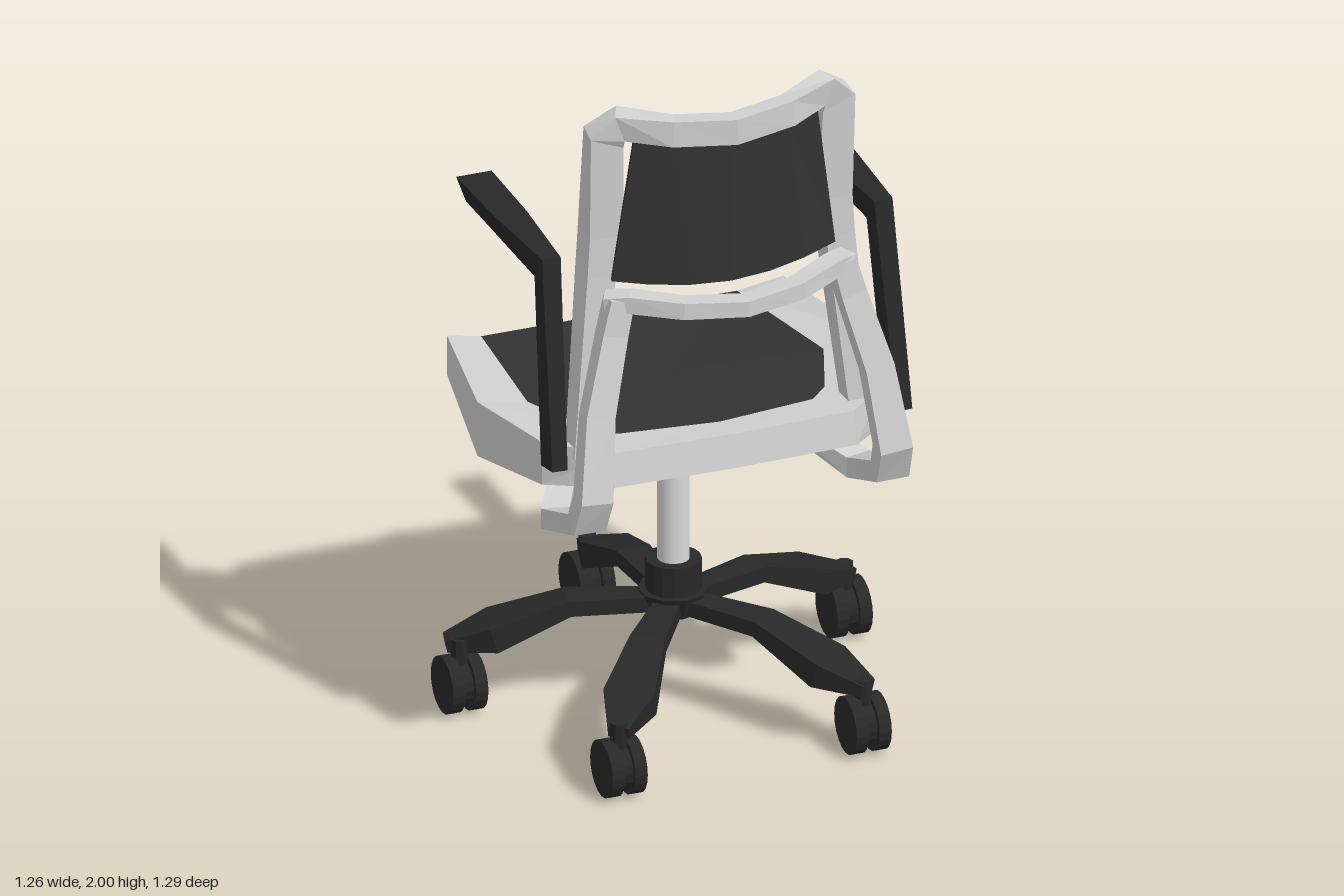
import * as THREE from 'three';

const mat = (name, color) => {
  const m = new THREE.MeshStandardMaterial({ color, flatShading: true });
  m.name = name;
  return m;
};

// Flat-shaded geometry from a list of triangles (Vector3 triples)
function fromTris(tris) {
  const g = new THREE.BufferGeometry().setFromPoints(tris.flat());
  g.computeVertexNormals();
  return g;
}

const addTri = (tris, a, b, c) => {
  if (a.distanceTo(b) > 1e-4 && b.distanceTo(c) > 1e-4 && c.distanceTo(a) > 1e-4) tris.push([a, b, c]);
};

// Joins rings of points with quads
function loft(tris, rings) {
  for (let r = 0; r < rings.length - 1; r++) {
    const a = rings[r], b = rings[r + 1], n = a.length;
    for (let i = 0; i < n; i++) {
      const j = (i + 1) % n;
      addTri(tris, a[i], a[j], b[j]);
      addTri(tris, a[i], b[j], b[i]);
    }
  }
}

// Mitred bar: points are [x, y, z, width along hint, height, taper of the +v side]
function bar(points, hint) {
  const P = points.map((p) => new THREE.Vector3(p[0], p[1], p[2]));
  const rings = P.map((p, i) => {
    const t1 = P[Math.max(i, 1)].clone().sub(P[Math.max(i, 1) - 1]).normalize();
    const k = Math.min(i, P.length - 2);
    const t2 = P[k + 1].clone().sub(P[k]).normalize();
    const t = t1.clone().add(t2).normalize();
    const miter = Math.min(1.5, 1 / Math.max(0.1, t.dot(t2)));
    const u = hint.clone().addScaledVector(t, -hint.dot(t)).normalize();
    const v = t.clone().cross(u);
    const [, , , w, h, taper = 1] = points[i];
    const hv = (h / 2) * miter;
    return [[-1, -1], [1, -1], [taper, 1], [-taper, 1]].map(([a, b]) =>
      p.clone().addScaledVector(u, (a * w) / 2).addScaledVector(v, b * hv));
  });
  const tris = [];
  loft(tris, rings);
  const s = rings[0], e = rings[rings.length - 1];
  tris.push([s[0], s[2], s[1]], [s[0], s[3], s[2]], [e[0], e[1], e[2]], [e[0], e[2], e[3]]);
  return fromTris(tris);
}

const X = new THREE.Vector3(1, 0, 0), Y = new THREE.Vector3(0, 1, 0), Z = new THREE.Vector3(0, 0, 1);

// Mirrors a half path (last point on the centre line) into a full one
const mirror = (half) => [...half, ...half.slice(0, -1).reverse().map(([x, ...r]) => [-x, ...r])];
const ring = (half) => mirror(half).map((p) => new THREE.Vector3(...p));

export function createModel() {
  const frame = mat('light grey frame', 0xd0d0d0);
  const steel = mat('column grey', 0xd8d8d8);
  steel.flatShading = false;
  const fabric = mat('charcoal fabric', 0x333333);
  const plastic = mat('dark plastic', 0x282828);

  const model = new THREE.Group();
  const add = (name, geo, m, parent = model) => {
    const mesh = new THREE.Mesh(geo, m);
    mesh.name = name;
    parent.add(mesh);
    return mesh;
  };

  // Seat: shell rings from the pad edge, over the rim, to the underside
  const padEdge = ring([[0.38, 0.955, -0.435], [0.38, 0.955, -0.435], [0.44, 0.985, 0.05],
    [0.35, 0.99, 0.28], [0.29, 0.99, 0.34], [0, 0.99, 0.375]]);
  const rimTop = ring([[0.38, 0.955, -0.435], [0.5, 1, -0.39], [0.58, 1, 0.03],
    [0.51, 1, 0.33], [0.36, 1, 0.47], [0, 1, 0.48]]);
  const rimLow = ring([[0.38, 0.88, -0.435], [0.5, 0.88, -0.39], [0.58, 0.835, 0.03],
    [0.51, 0.87, 0.33], [0.36, 0.905, 0.49], [0, 0.905, 0.5]]);
  const under = ring([[0.38, 0.878, -0.42], [0.45, 0.86, -0.3], [0.43, 0.8, 0.03],
    [0.4, 0.85, 0.25], [0.34, 0.895, 0.45], [0, 0.9, 0.48]]);
  const shell = [], pad = [];
  loft(shell, [padEdge, rimTop, rimLow, under]);
  const low = new THREE.Vector3(0, 0.8, 0.03), mid = new THREE.Vector3(0, 0.975, 0);
  under.forEach((p, i) => {
    const j = (i + 1) % under.length;
    addTri(shell, low, p, under[j]);
    addTri(pad, mid, padEdge[j], padEdge[i]);
  });
  add('seatShell', fromTris(shell), frame);
  add('seatPad', fromTris(pad), fabric);

  // Backrest: arched frame and curved panel
  add('backFrame', bar(mirror([
    [0.41, 0.96, 0.37, 0.07, 0.07], [0.355, 1.5, 0.34, 0.09, 0.085], [0.34, 1.62, 0.34, 0.09, 0.1],
    [0.342, 1.92, 0.365, 0.07, 0.095], [0.3, 1.962, 0.385, 0.06, 0.075],
    [0.17, 1.945, 0.45, 0.055, 0.075], [0, 1.935, 0.48, 0.055, 0.075]]), Z), frame);
  add('backPanel', bar(mirror([
    [0.3, 1.705, 0.4, 0.43, 0.02], [0.2, 1.69, 0.428, 0.43, 0.02],
    [0.1, 1.68, 0.445, 0.43, 0.02], [0, 1.675, 0.45, 0.43, 0.02]]), Y), fabric);

  // Rear support: crossbar with legs that hook under the seat
  add('rearCrossbar', bar(mirror([
    [0.36, 1.445, 0.425, 0.06, 0.05], [0.3, 1.452, 0.46, 0.06, 0.05],
    [0.17, 1.44, 0.53, 0.06, 0.048], [0, 1.43, 0.56, 0.06, 0.045]]), Z), frame);

  for (const s of [1, -1]) {
    const side = s > 0 ? 'left' : 'right';
    const path = (pts) => pts.map(([x, ...r]) => [x * s, ...r]);
    add(side + 'RearSupport', bar(path([
      [0.33, 1.46, 0.45, 0.07, 0.06], [0.355, 1.36, 0.458, 0.075, 0.06], [0.415, 1.14, 0.5, 0.085, 0.06],
      [0.445, 0.91, 0.545, 0.095, 0.06], [0.45, 0.825, 0.51, 0.095, 0.06],
      [0.45, 0.735, 0.28, 0.08, 0.055], [0.32, 0.815, 0.05, 0.07, 0.04]]), X), frame);
    // Armrest: slanted post turning into a tapered pad
    add(side + 'Armrest', bar(path([
      [0.512, 0.965, 0.425, 0.045, 0.085], [0.493, 1.53, 0.322, 0.055, 0.082, 0.8],
      [0.49, 1.53, 0.05, 0.095, 0.08, 0.5], [0.489, 1.53, -0.22, 0.105, 0.08, 0.45]]), X), plastic);
  }

  // Column and hub
  const base = new THREE.Group();
  base.name = 'base';
  base.position.set(-0.01, 0, 0.06);
  model.add(base);
  add('column', new THREE.CylinderGeometry(0.045, 0.045, 0.43, 24), steel, base).position.y = 0.615;
  add('hubCollar', new THREE.CylinderGeometry(0.078, 0.078, 0.11, 16), plastic, base).position.y = 0.38;
  add('hub', new THREE.CylinderGeometry(0.1, 0.07, 0.07, 10), plastic, base).position.y = 0.31;

  // Five star legs
  for (let i = 0; i < 5; i++) {
    const leg = add('starLeg', bar([
      [0, 0.308, -0.04, 0.07, 0.045], [0, 0.308, -0.29, 0.1, 0.045],
      [0, 0.228, -0.5, 0.145, 0.075], [0, 0.195, -0.63, 0.06, 0.035]], X), plastic, base);
    leg.rotation.y = (i * Math.PI * 2) / 5;
  }

  // Twin-wheel casters, all rolling front to back
  const wheel = new THREE.CylinderGeometry(0.083, 0.083, 0.036, 20).rotateZ(Math.PI / 2);
  const core = new THREE.CylinderGeometry(0.066, 0.066, 0.06, 16).rotateZ(Math.PI / 2);
  const stem = new THREE.CylinderGeometry(0.026, 0.026, 0.1, 8);
  for (const [x, z] of [[-0.013, -0.563], [0.577, -0.137], [0.35, 0.56], [-0.375, 0.56], [-0.583, -0.093]]) {
    const caster = new THREE.Group();
    caster.name = 'caster';
    caster.position.set(x, 0.088, z);
    for (const s of [1, -1]) add('wheel', wheel, plastic, caster).position.x = s * 0.034;
    add('wheelCore', core, plastic, caster);
    add('stem', stem, plastic, caster).position.y = 0.085;
    model.add(caster);
  }
  return model;
}
